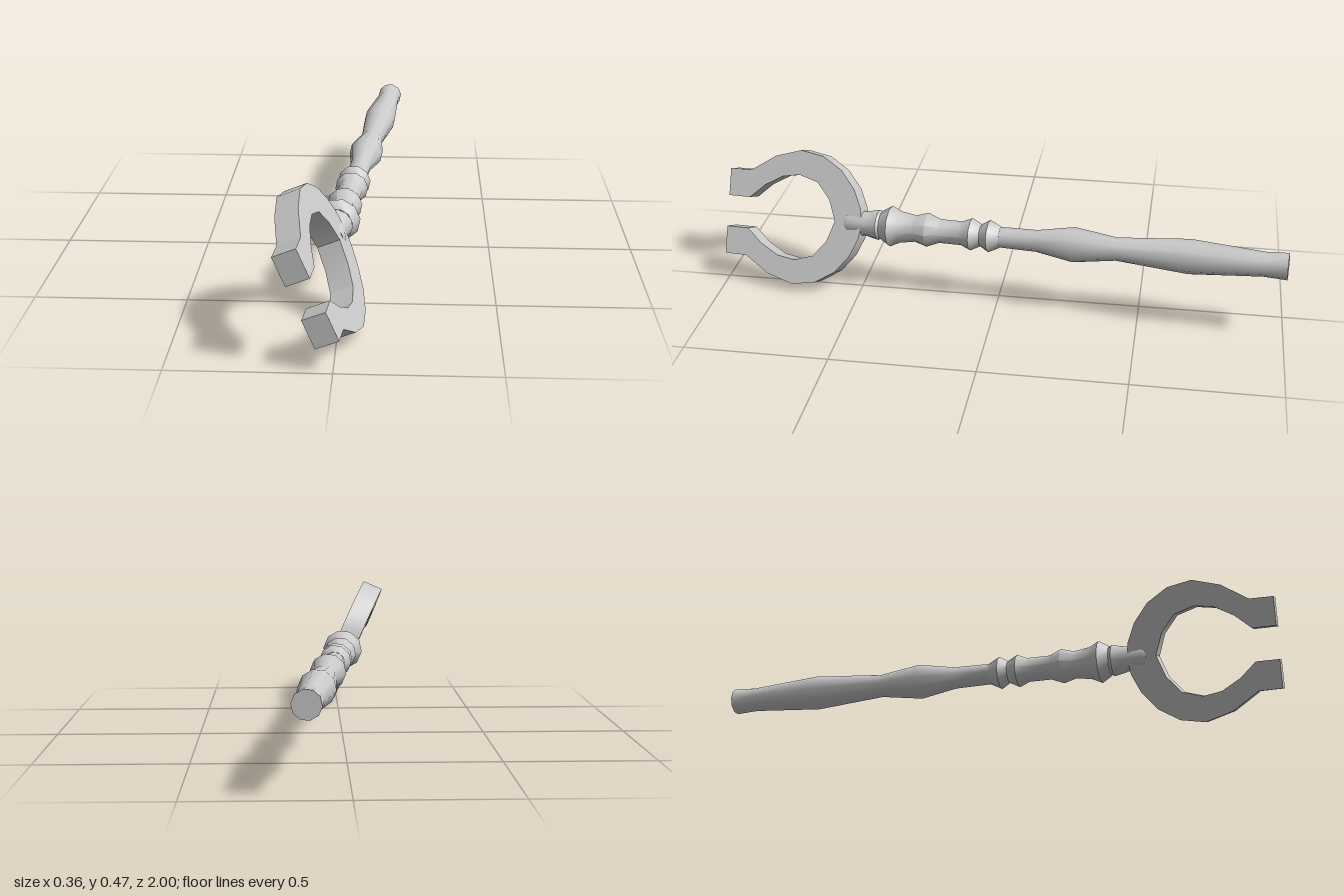
import * as THREE from 'three';
import { toCreasedNormals } from 'three/addons/utils/BufferGeometryUtils.js';

const material = new THREE.MeshStandardMaterial({ color: 0xcccccc });

function addMesh(group, name, geometry, crease) {
  const mesh = new THREE.Mesh(toCreasedNormals(geometry, crease), material);
  mesh.name = name;
  group.add(mesh);
}

// Turned part along +z, from [radius, z] pairs.
function turned(profile, sides) {
  const points = profile.map(([r, z]) => new THREE.Vector2(r, z));
  return new THREE.LatheGeometry(points, sides).rotateX(Math.PI / 2);
}

export function createModel() {
  const staff = new THREE.Group();
  staff.name = 'staff';

  // Handle with two long swells and a flat rear cap
  addMesh(staff, 'handle', turned([
    [0, -1], [0.046, -1], [0.042, -0.92], [0.06, -0.67], [0.04, -0.42],
    [0.061, -0.27], [0.038, -0.14], [0.036, 0], [0, 0],
  ], 10), 0.7);

  // Beaded grip below the fork
  addMesh(staff, 'beadedGrip', turned([
    [0, -0.01], [0.037, -0.01], [0.057, 0.03], [0.039, 0.06], [0.057, 0.095],
    [0.042, 0.13], [0.042, 0.21], [0.06, 0.255], [0.047, 0.3],
    [0.056, 0.355], [0.073, 0.39], [0.052, 0.425], [0, 0.425],
  ], 10), 0.7);

  // Socket whose sides overlap the fork
  addMesh(staff, 'socket', turned([
    [0, 0.41], [0.045, 0.42], [0.054, 0.435], [0.043, 0.485],
    [0.048, 0.54], [0.042, 0.555], [0, 0.555],
  ], 12), 0.7);

  // Fork: mirrored outer and inner outlines as [along, across], extruded
  const outer = [[0.49, 0], [0.498, 0.055], [0.527, 0.12], [0.578, 0.182], [0.65, 0.226],
    [0.735, 0.241], [0.83, 0.213], [0.92, 0.155], [1, 0.154]];
  const inner = [[1, 0.056], [0.92, 0.056], [0.865, 0.105], [0.8, 0.142], [0.735, 0.153],
    [0.665, 0.132], [0.617, 0.075], [0.59, 0]];
  const half = [...outer, ...inner];
  const mirrored = half.slice(1, -1).reverse().map(([s, v]) => [s, -v]);
  const outline = new THREE.Shape([...half, ...mirrored].map(([s, v]) => new THREE.Vector2(s, v)));
  const thickness = 0.078;
  const fork = new THREE.ExtrudeGeometry(outline, { depth: thickness, bevelEnabled: false });
  fork.translate(0, 0, -thickness / 2).rotateY(-Math.PI / 2);
  addMesh(staff, 'fork', fork, 0.5);

  // Lean the axis and roll the fork about it
  const along = new THREE.Vector3(-0.105, -0.022, 1).normalize();
  const side = new THREE.Vector3(-0.4, 0.917, 0).cross(along).normalize();
  const up = along.clone().cross(side);
  staff.quaternion.setFromRotationMatrix(new THREE.Matrix4().makeBasis(side, up, along));
  staff.position.set(0.027, 0.259, 0);

  const model = new THREE.Group();
  model.name = 'forkedStaff';
  model.add(staff);
  return model;
}
